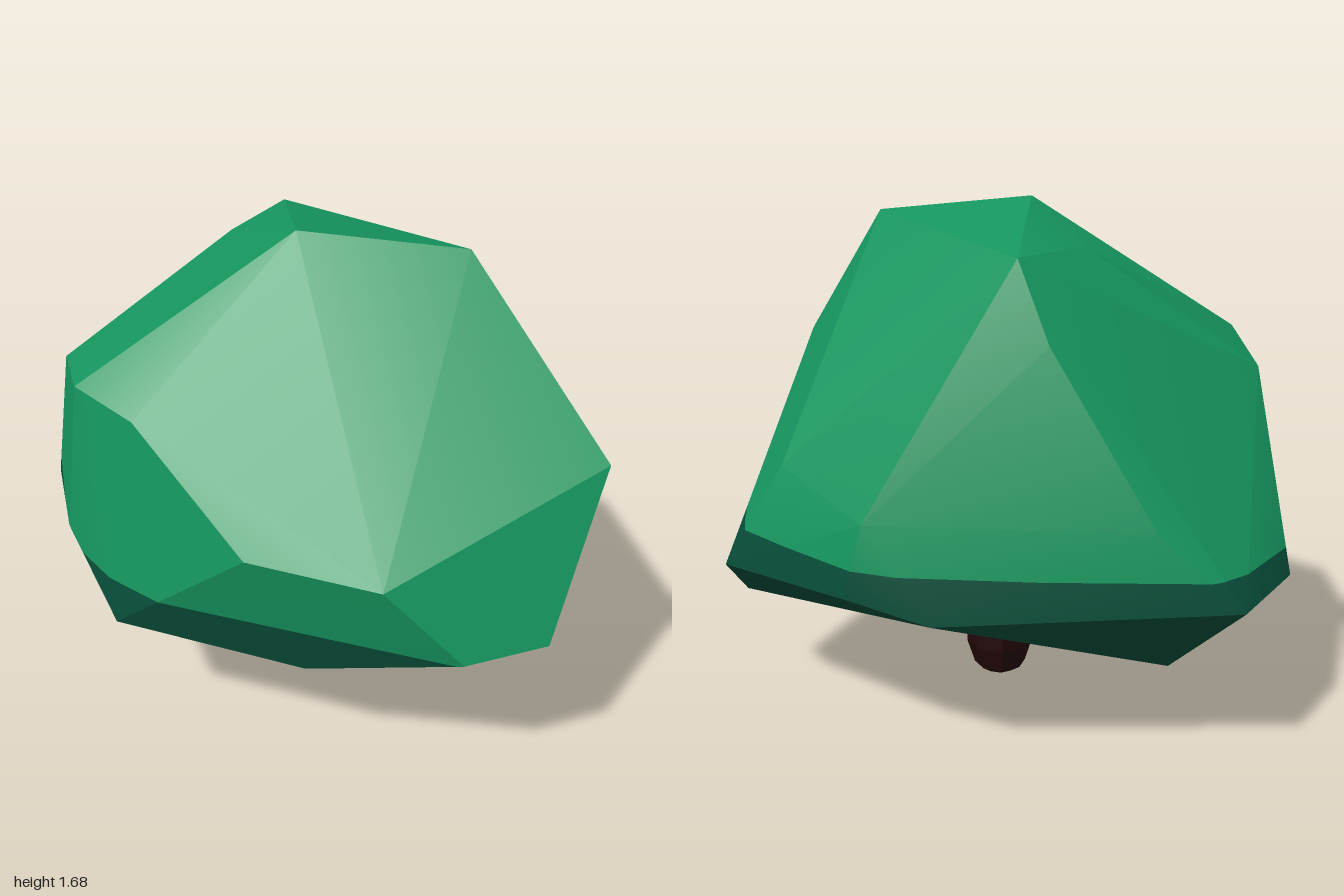
import * as THREE from 'three';
import { ConvexGeometry } from 'three/addons/geometries/ConvexGeometry.js';
import { toCreasedNormals } from 'three/addons/utils/BufferGeometryUtils.js';

const leafGreen = new THREE.MeshStandardMaterial({ color: 0x16965f });
leafGreen.name = 'leaf green';
const shadeGreen = new THREE.MeshStandardMaterial({ color: 0x084d39 });
shadeGreen.name = 'deep green';
const barkBrown = new THREE.MeshStandardMaterial({ color: 0x22080a, flatShading: true });
barkBrown.name = 'dark bark';

// Corners of the faceted crown, from the crest down to the lower rim
const crest = [
  [0.01, 1.68, 0.165], [0.46, 1.625, -0.085], [-0.33, 1.56, -0.32], [-0.33, 1.56, 0],
  [-0.465, 1.325, -0.34],
];
const shoulder = [
  [-0.49, 1.245, 0.63], [-0.25, 1.21, 0.67], [-0.73, 1.18, 0.39], [1, 1.13, 0.07],
  [0.19, 0.93, 0.765], [0.59, 0.915, 0.68], [0.31, 0.9, -0.69], [-0.09, 0.81, -0.74],
  [-0.79, 0.81, -0.245], [-0.57, 0.72, 0.64], [0.8, 0.67, 0.575], [0.975, 0.67, 0.37],
];
const rim = [
  [-1, 0.57, -0.09], [-0.97, 0.585, 0.23], [-0.03, 0.57, -0.765], [0.54, 0.53, -0.755],
];
// Ring around the underside, and the low point beside the trunk it runs in to
const underRing = [
  [-0.65, 0.237, 0.06], [-0.76, 0.38, 0.28], [-0.3, 0.52, 0.765], [0.31, 0.49, 0.63],
  [0.84, 0.43, 0.07], [0.67, 0.35, -0.57], [-0.29, 0.52, -0.665],
];
const underCentre = [0.12, 0.302, -0.03];

const toVector = (c) => new THREE.Vector3(...c);

// Convex block whose underside is replaced by a fan around the low point
function crownGeometry() {
  const ring = underRing.map(toVector);
  const hull = new ConvexGeometry([...crest, ...shoulder, ...rim].map(toVector).concat(ring));
  const pos = hull.attributes.position;
  const isRing = (v) => ring.some((r) => r.distanceTo(v) < 1e-4);
  const out = [];
  for (let i = 0; i < pos.count; i += 3) {
    const tri = [0, 1, 2].map((k) => new THREE.Vector3().fromBufferAttribute(pos, i + k));
    if (!tri.every(isRing)) tri.forEach((v) => out.push(...v.toArray()));
  }
  underRing.forEach((a, i) => {
    const b = underRing[(i + 1) % underRing.length];
    out.push(...a, ...underCentre, ...b);
  });
  const geometry = new THREE.BufferGeometry();
  geometry.setAttribute('position', new THREE.Float32BufferAttribute(out, 3));
  // Fan corners must turn downwards to face out
  const n = new THREE.Triangle(toVector(underRing[2]), toVector(underCentre), toVector(underRing[3]))
    .getNormal(new THREE.Vector3());
  if (n.y > 0) {
    const p = geometry.attributes.position;
    for (let i = p.count - underRing.length * 3; i < p.count; i += 3) {
      const a = new THREE.Vector3().fromBufferAttribute(p, i);
      const c = new THREE.Vector3().fromBufferAttribute(p, i + 2);
      p.setXYZ(i, c.x, c.y, c.z);
      p.setXYZ(i + 2, a.x, a.y, a.z);
    }
  }
  return toCreasedNormals(geometry, 0.35);
}

// Keep the part of a geometry above (side = 1) or below (side = -1) a level
function sliceAt(geometry, level, side) {
  const pos = geometry.attributes.position, nor = geometry.attributes.normal;
  const outP = [], outN = [];
  const height = (v) => (v.p.y - level) * side;
  for (let i = 0; i < pos.count; i += 3) {
    const tri = [0, 1, 2].map((k) => ({
      p: new THREE.Vector3().fromBufferAttribute(pos, i + k),
      n: new THREE.Vector3().fromBufferAttribute(nor, i + k),
    }));
    const poly = [];
    tri.forEach((a, k) => {
      const b = tri[(k + 1) % 3], ha = height(a), hb = height(b);
      if (ha >= 0) poly.push(a);
      if (ha * hb < 0) {
        const t = ha / (ha - hb);
        poly.push({ p: a.p.clone().lerp(b.p, t), n: a.n.clone().lerp(b.n, t).normalize() });
      }
    });
    for (let k = 1; k + 1 < poly.length; k++) {
      for (const v of [poly[0], poly[k], poly[k + 1]]) {
        outP.push(...v.p.toArray());
        outN.push(...v.n.toArray());
      }
    }
  }
  const result = new THREE.BufferGeometry();
  result.setAttribute('position', new THREE.Float32BufferAttribute(outP, 3));
  result.setAttribute('normal', new THREE.Float32BufferAttribute(outN, 3));
  return result;
}

function addMesh(group, name, geometry, material) {
  const mesh = new THREE.Mesh(geometry, material);
  mesh.name = name;
  group.add(mesh);
  return mesh;
}

export function createModel() {
  const tree = new THREE.Group();
  tree.name = 'tree';

  // Crown: one faceted block, split into a light top and a dark base
  const crown = crownGeometry();
  addMesh(tree, 'upperCrown', sliceAt(crown, 0.662, 1), leafGreen);
  addMesh(tree, 'lowerCrown', sliceAt(crown, 0.662, -1), shadeGreen);

  // Trunk: eight-sided stub with a blunt tip
  const profile = [[0, 0], [0.05, 0.018], [0.09, 0.045], [0.117, 0.13], [0.115, 0.24], [0.105, 0.36], [0, 0.4]]
    .map(([r, y]) => new THREE.Vector2(r, y));
  const trunk = addMesh(tree, 'trunk', new THREE.LatheGeometry(profile, 8), barkBrown);
  trunk.position.set(0.043, 0, 0.042);

  return tree;
}
